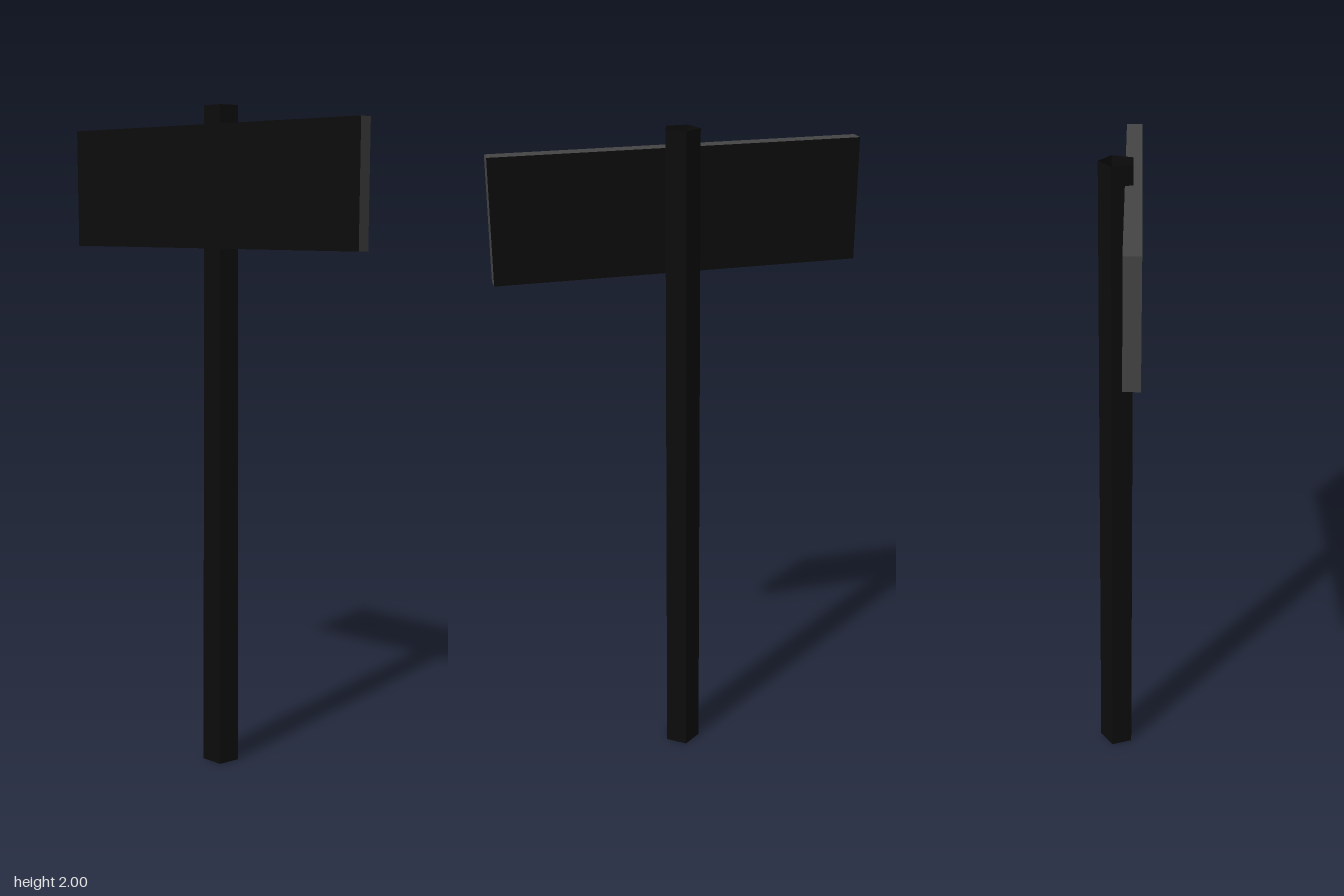
import * as THREE from 'three';

export function createModel() {
  const group = new THREE.Group();

  const black = new THREE.MeshStandardMaterial({ color: 0x0c0c0c, flatShading: true, side: THREE.DoubleSide });
  black.name = 'black';
  const darkGrey = new THREE.MeshStandardMaterial({ color: 0x444444 });
  darkGrey.name = 'darkGrey';

  // Slightly tapered five-sided post, open at both ends, one corner to the back
  const post = new THREE.Mesh(
    new THREE.CylinderGeometry(0.052, 0.057, 2, 5, 1, true, Math.PI), black);
  post.name = 'post';
  post.position.set(0, 1, -0.0045);
  group.add(post);

  // Sign board: black front and back, grey rim (box groups: +x, -x, +y, -y, +z, -z)
  const board = new THREE.Mesh(
    new THREE.BoxGeometry(1.058, 0.353, 0.046),
    [darkGrey, darkGrey, darkGrey, darkGrey, black, black]);
  board.name = 'signBoard';
  board.position.set(0, 1.768, 0.0385);
  group.add(board);

  return group;
}
